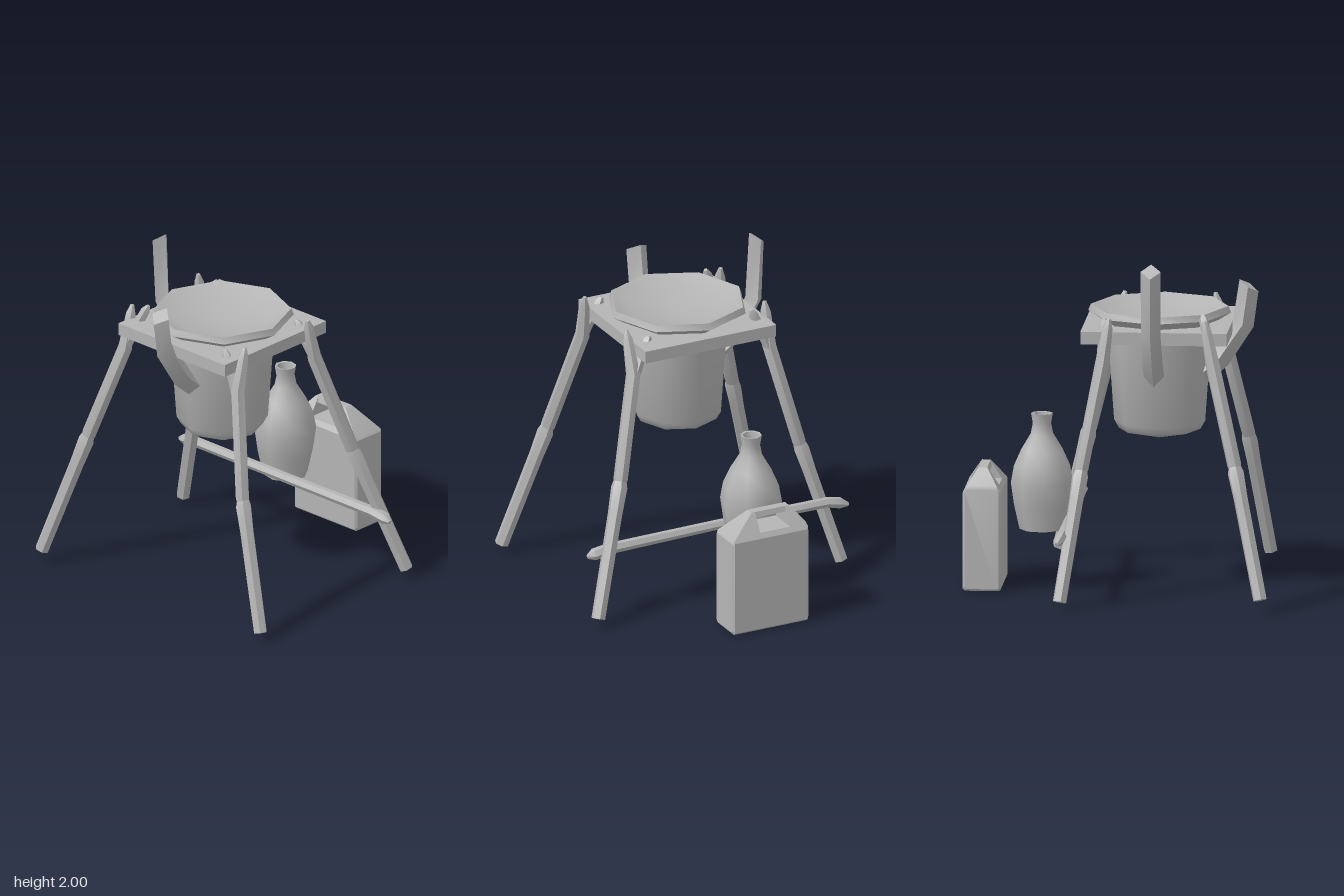
import * as THREE from 'three';
import { toCreasedNormals } from 'three/addons/utils/BufferGeometryUtils.js';

const grey = new THREE.MeshStandardMaterial({ color: 0xb4b4b4 });
grey.name = 'plain grey';

const V = (p) => new THREE.Vector3(...p);

function part(name, geometry, crease = 0.9) {
  const mesh = new THREE.Mesh(toCreasedNormals(geometry, crease), grey);
  mesh.name = name;
  return mesh;
}

// Skin over a list of equal-sized convex rings, closed at both ends.
function loft(rings) {
  const n = rings[0].length, index = [], last = (rings.length - 1) * n;
  for (let i = 0; i < rings.length - 1; i++)
    for (let j = 0; j < n; j++) {
      const a = i * n + j, b = i * n + (j + 1) % n;
      index.push(a, a + n, b, b, a + n, b + n);
    }
  for (let j = 1; j < n - 1; j++) index.push(0, j, j + 1, last, last + j + 1, last + j);
  const g = new THREE.BufferGeometry().setFromPoints(rings.flat());
  g.setIndex(index);
  return g;
}

// Tapered stick through points; each point is [x, y, z, radius].
function stick(points, sides, ref, endDir) {
  const p = points.map((q) => V(q.slice(0, 3)));
  return loft(p.map((c, i) => {
    const t = new THREE.Vector3();
    if (i > 0) t.add(c.clone().sub(p[i - 1]).normalize());
    if (i < p.length - 1) t.add(p[i + 1].clone().sub(c).normalize());
    if (endDir && i === p.length - 1) t.copy(V(endDir));
    t.normalize();
    const u = V(ref).addScaledVector(t, -V(ref).dot(t)).normalize();
    const v = t.clone().cross(u);
    return Array.from({ length: sides }, (_, k) => {
      const a = -k / sides * Math.PI * 2, r = points[i][3];
      return c.clone().addScaledVector(u, r * Math.cos(a)).addScaledVector(v, r * Math.sin(a));
    });
  }));
}

function lathe(profile, sides, phi = 0) {
  return new THREE.LatheGeometry(profile.map(([r, y]) => new THREE.Vector2(r, y)), sides, phi);
}

// Forked branch: upper limb, splintered lower limb and a prong through the board.
function forkedLeg(name, top, fork, knee, foot, prong) {
  const leg = new THREE.Group();
  leg.name = name;
  const mix = (a, b, t) => V(a).lerp(V(b), t).toArray();
  leg.add(part('upperLimb', stick([
    [...top, 0.012], [...mix(top, fork, 0.22), 0.032], [...fork, 0.045],
    [...knee, 0.044], [...mix(knee, foot, 0.1), 0.02],
  ], 6, [1, 0, 0.3])));
  leg.add(part('lowerLimb', stick([
    [...mix(knee, fork, 0.1), 0.02], [...mix(knee, foot, 0.06), 0.05],
    [...mix(knee, foot, 0.25), 0.044], [...foot, 0.042],
  ], 6, [1, 0, 0.3])));
  leg.add(part('prong', stick([
    [...mix(fork, knee, 0.12), 0.03], [...mix(fork, prong, 0.5), 0.032],
    [...mix(fork, prong, 0.9), 0.028], [...prong, 0.012],
  ], 5, [1, 0, 0.3])));
  return leg;
}

export function createModel() {
  const model = new THREE.Group();
  model.name = 'washStand';

  // Square board
  const board = part('board', new THREE.BoxGeometry(0.86, 0.075, 0.86));
  board.position.set(-0.22, 1.548, -0.02);
  model.add(board);

  // Eight-sided basin and the bucket hanging below it
  const basin = part('basin', lathe([
    [0.3, 1.56], [0.35, 1.588], [0.42, 1.632], [0.405, 1.67], [0.385, 1.662],
    [0.29, 1.62], [0.001, 1.592],
  ], 8));
  const bucket = part('bucket', lathe([
    [0.001, 0.88], [0.24, 0.935], [0.268, 0.985], [0.305, 1.52], [0.001, 1.54],
  ], 8));
  for (const m of [basin, bucket]) {
    m.position.set(-0.22, 0, -0.02);
    model.add(m);
  }

  // Bent square pipes with slanted ends
  model.add(part('backPipe', stick([
    [-0.21, 1.24, -0.22, 0.06], [-0.21, 1.36, -0.37, 0.06],
    [-0.21, 1.58, -0.515, 0.056], [-0.21, 1.965, -0.535, 0.06],
  ], 4, [1, 0, 0], [0, 0.8, -0.6]), 0.5));
  model.add(part('sidePipe', stick([
    [-0.43, 1.24, -0.02, 0.068], [-0.57, 1.36, -0.02, 0.068],
    [-0.712, 1.57, -0.02, 0.064], [-0.745, 1.795, -0.02, 0.066],
  ], 4, [0, 0, 1], [-0.54, 0.84, 0]), 0.5));

  // Four splayed legs
  model.add(forkedLeg('frontRightLeg', [-0.51, 1.66, 0.44], [-0.56, 1.4, 0.43],
    [-0.69, 0.8, 0.59], [-0.8, 0.05, 0.84], [-0.55, 1.62, 0.31]));
  model.add(forkedLeg('frontLeftLeg', [0.02, 1.66, 0.44], [0.09, 1.4, 0.43],
    [0.24, 0.82, 0.59], [0.44, 0.055, 0.84], [0.06, 1.61, 0.31]));
  model.add(forkedLeg('backRightLeg', [-0.52, 1.66, -0.46], [-0.57, 1.4, -0.47],
    [-0.71, 0.84, -0.63], [-0.88, 0.08, -0.85], [-0.5, 1.68, -0.35]));
  model.add(forkedLeg('backLeftLeg', [0.04, 1.67, -0.46], [0.08, 1.4, -0.47],
    [0.19, 0.8, -0.61], [0.3, 0.045, -0.83], [0.08, 1.65, -0.35]));

  // Cross bar between the left legs
  model.add(part('crossBar', stick([
    [0.3, 0.395, 0.84, 0.012], [0.305, 0.405, 0.8, 0.036], [0.3, 0.42, 0.7, 0.034],
    [0.29, 0.425, 0, 0.03], [0.295, 0.425, -0.74, 0.031],
    [0.305, 0.41, -0.82, 0.034], [0.315, 0.395, -0.87, 0.012],
  ], 6, [1, 0, 0])));

  // Bottle with an open neck
  const bottle = part('bottle', lathe([
    [0.001, 0.35], [0.132, 0.352], [0.165, 0.5], [0.183, 0.63], [0.165, 0.73],
    [0.12, 0.83], [0.066, 0.92], [0.054, 0.98], [0.064, 1.04], [0.05, 1.038],
    [0.042, 0.98], [0.045, 0.9], [0.001, 0.88],
  ], 8, 0.17));
  bottle.position.set(0.46, 0, -0.155);
  model.add(bottle);

  // Canister: [z, half width, side height, roof height] per section
  const canister = new THREE.Group();
  canister.name = 'canister';
  canister.position.x = 0.802;
  const sections = [
    [0.195, 0.1, 0.575, 0.58], [0.185, 0.112, 0.585, 0.595], [0.03, 0.112, 0.585, 0.722],
    [0.008, 0.112, 0.585, 0.722], [0.007, 0.112, 0.585, 0.615],
    [-0.189, 0.112, 0.585, 0.615], [-0.19, 0.112, 0.585, 0.722],
    [-0.215, 0.112, 0.585, 0.722], [-0.295, 0.112, 0.585, 0.625], [-0.305, 0.1, 0.575, 0.6],
  ];
  canister.add(part('canisterBody', loft(sections.map(([z, w, s, t]) => {
    const a = Math.min(w - 0.005, 0.112 - (t - 0.585) * 0.63), b = 0.122 - w;
    return [[-w + 0.012, b - 0.01], [w - 0.012, b - 0.01], [w, b + 0.002], [w, s],
      [a, t], [-a, t], [-w, s], [-w, b + 0.002]].map(([x, y]) => V([x, y, z]));
  })), 0.4));
  // Grip bar over the recess
  canister.add(part('canisterGrip', loft([0.012, -0.195].map((z) =>
    [[-0.035, 0.69], [0.035, 0.69], [0.026, 0.722], [-0.026, 0.722]].map(([x, y]) => V([x, y, z])))), 0.4));
  model.add(canister);

  return model;
}
